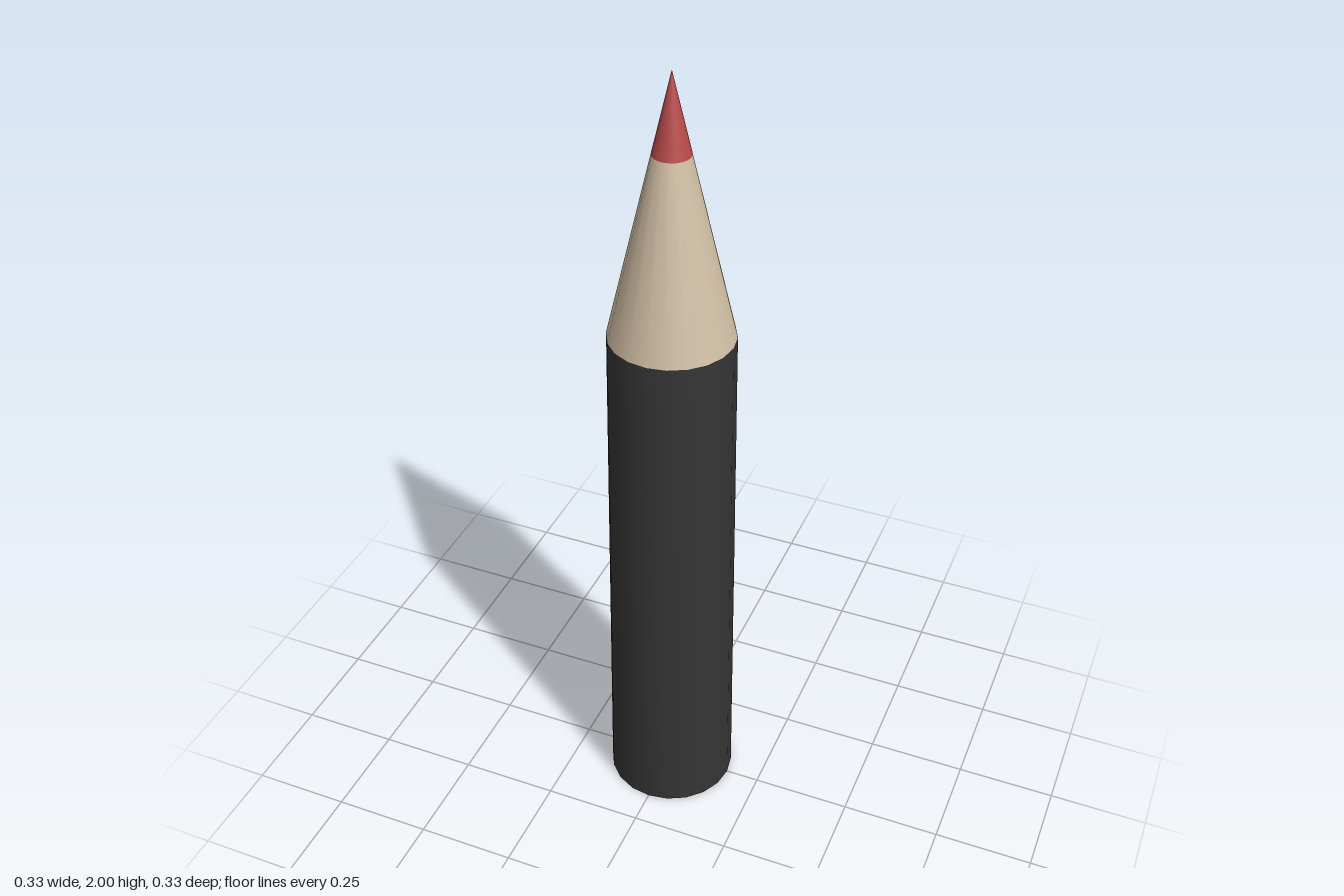
import * as THREE from 'three';
import { toCreasedNormals } from 'three/addons/utils/BufferGeometryUtils.js';

const SIDES = 20;

// Revolved part from a bottom-to-top profile of [radius, height] pairs
function turned(name, color, profile) {
  const points = profile.map(([r, y]) => new THREE.Vector2(r, y));
  const geometry = toCreasedNormals(new THREE.LatheGeometry(points, SIDES), 0.6);
  const mesh = new THREE.Mesh(geometry, new THREE.MeshStandardMaterial({ color }));
  mesh.name = name;
  return mesh;
}

export function createModel() {
  const pencil = new THREE.Group();
  pencil.name = 'pencil';

  // Slightly tapered barrel with a shallow round recess in its base
  pencil.add(turned('barrel', 0x353536, [
    [0, 0.015], [0.108, 0.015], [0.108, 0], [0.163, 0], [0.151, 1.36], [0, 1.36],
  ]));

  // Sharpened wood
  pencil.add(turned('sharpenedWood', 0xd2bfa5, [[0.151, 1.36], [0.045, 1.81]]));

  // Pointed lead
  pencil.add(turned('leadTip', 0xb84a4a, [[0.045, 1.81], [0, 2]]));

  return pencil;
}
